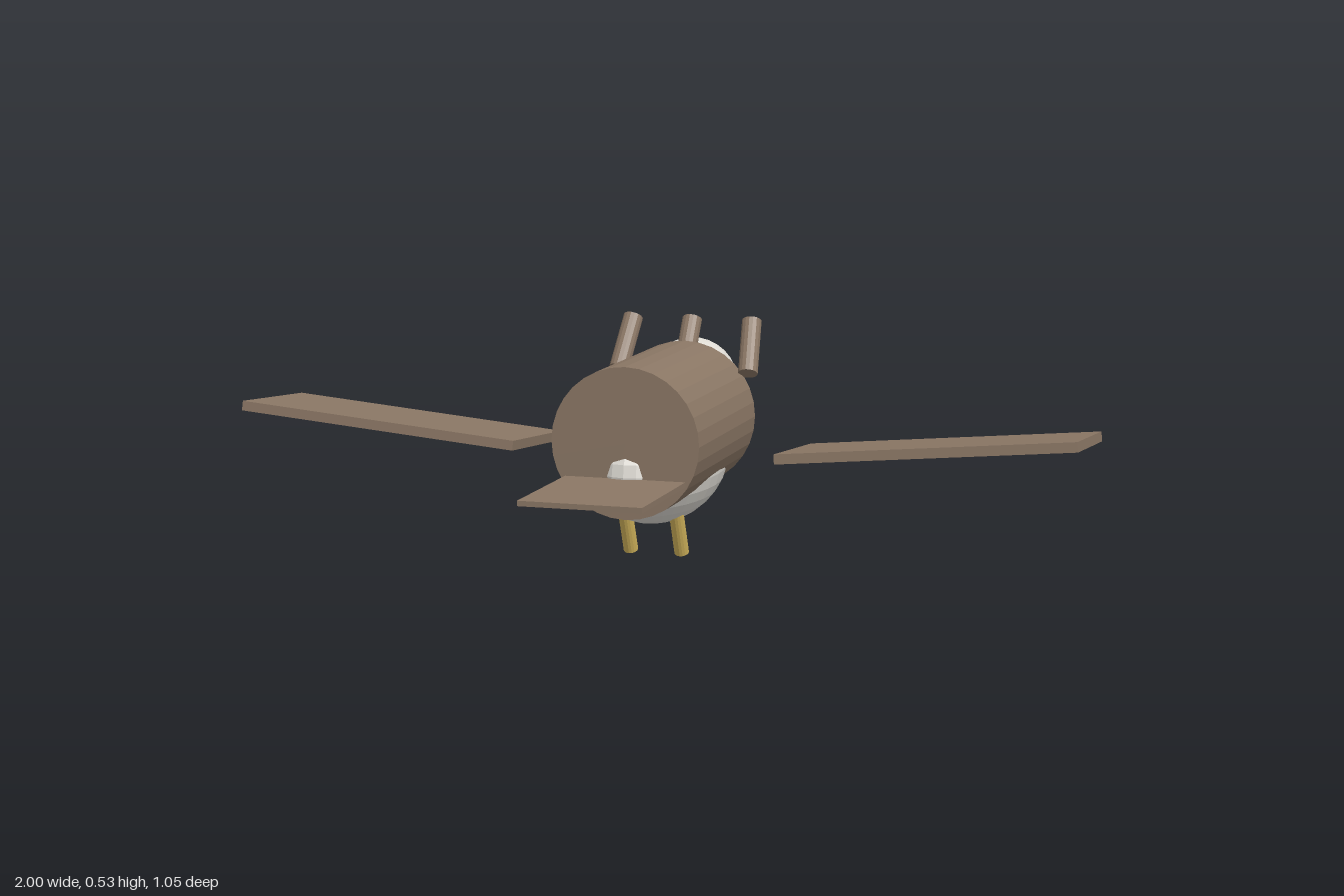
import * as THREE from 'three';

const material = (color) => new THREE.MeshStandardMaterial({ color, flatShading: true });
const brown = material(0x8b7765);
const white = material(0xdedbd4);
const grey = material(0x555a62);
const yellow = material(0xd2b45c);

export function createModel() {
  const model = new THREE.Group();

  const add = (name, geometry, mat, x, y, z) => {
    const mesh = new THREE.Mesh(geometry, mat);
    mesh.name = name;
    mesh.position.set(x, y, z);
    model.add(mesh);
    return mesh;
  };

  // Straight rod or cone running between two points
  const rod = (name, from, to, r0, r1, mat, sides = 16) => {
    const a = new THREE.Vector3(...from);
    const b = new THREE.Vector3(...to);
    const dir = b.clone().sub(a);
    const mid = a.clone().add(b).multiplyScalar(0.5);
    const mesh = add(name, new THREE.CylinderGeometry(r1, r0, dir.length(), sides), mat, mid.x, mid.y, mid.z);
    mesh.quaternion.setFromUnitVectors(new THREE.Vector3(0, 1, 0), dir.normalize());
    return mesh;
  };

  // Barrel body lying along z, belly and head
  const barrel = new THREE.CylinderGeometry(0.174, 0.174, 0.468, 32).rotateX(Math.PI / 2);
  add('body', barrel, brown, 0, 0.298, -0.029);
  const belly = new THREE.SphereGeometry(1, 32, 16).scale(0.147, 0.147, 0.278);
  add('belly', belly, white, 0, 0.222, -0.06);
  add('head', new THREE.SphereGeometry(0.11, 32, 16), white, 0, 0.362, -0.325);

  // Beak widens outwards from its point inside the head
  rod('beak', [0, 0.322, -0.392], [0, 0.353, -0.5135], 0, 0.042, grey);

  // Flat tail
  add('tail', new THREE.BoxGeometry(0.284, 0.012, 0.345), brown, 0, 0.212, 0.3525);

  // Crest quills
  for (const side of [-1, 0, 1]) {
    rod('crestQuill', [side * 0.16, 0.402, -0.2475], [side * 0.148, 0.518, -0.324], 0.0235, 0.0235, brown);
  }

  for (const side of [-1, 1]) {
    const label = side > 0 ? 'left' : 'right';

    // Wing, raised at the tip and at the +z edge
    const wing = add(label + 'Wing', new THREE.BoxGeometry(0.688, 0.023, 0.343), brown, side * 0.655, 0.274, -0.092);
    wing.rotation.set(-0.087, 0, side * 0.09);

    // Leg, its upper end buried in the belly
    rod(label + 'Leg', [side * 0.062, 0.007, -0.0335], [side * 0.062, 0.125, 0.018], 0.017, 0.017, yellow);
  }

  return model;
}
